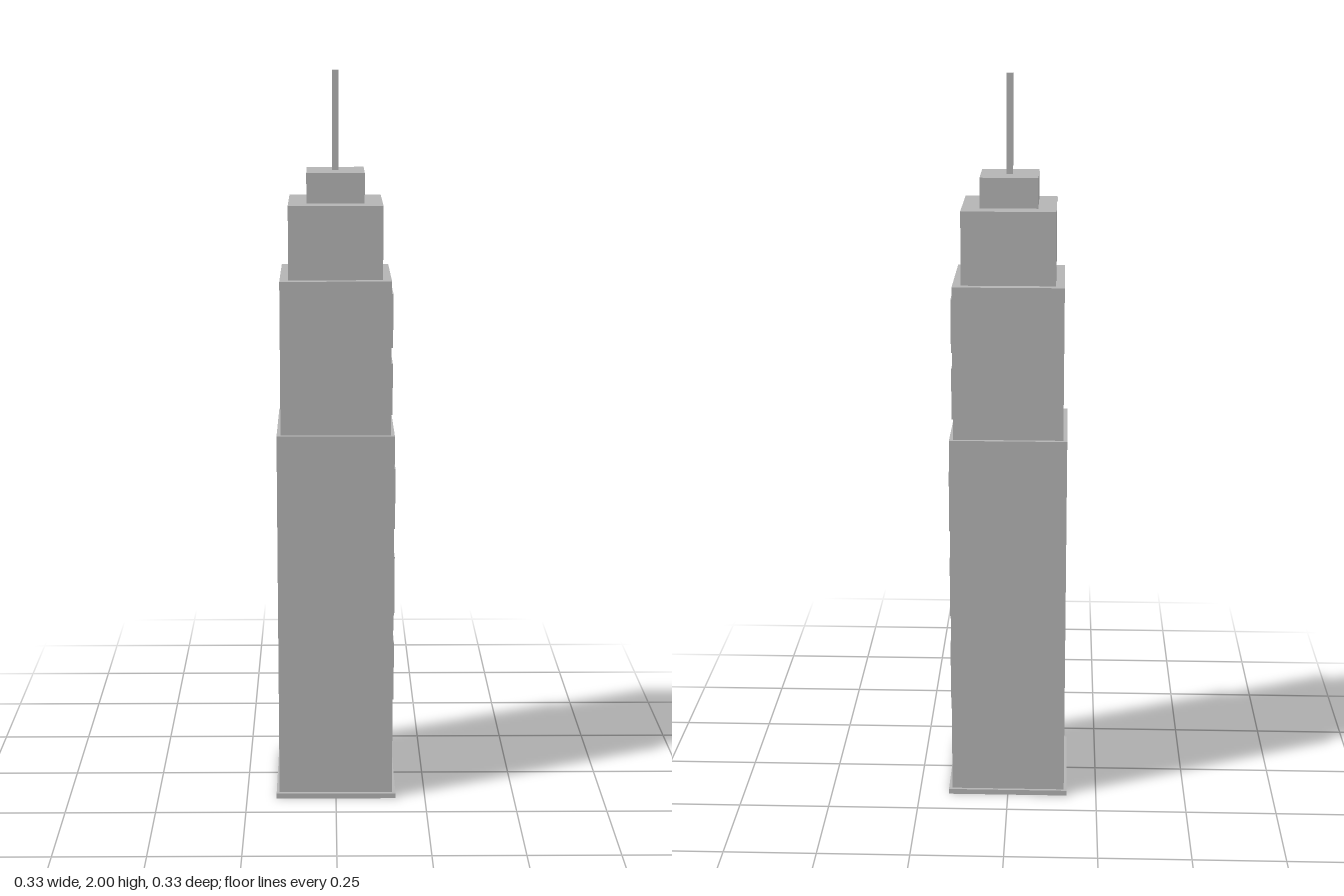
import * as THREE from 'three';

export function createModel() {
  const model = new THREE.Group();
  model.name = 'skyscraper';
  const stone = new THREE.MeshStandardMaterial({ color: 0xb4b4b4 });
  stone.name = 'grey stone';

  // Box given by its lower and upper corners
  const box = (name, [x0, y0, z0], [x1, y1, z1]) => {
    const mesh = new THREE.Mesh(new THREE.BoxGeometry(x1 - x0, y1 - y0, z1 - z0), stone);
    mesh.name = name;
    mesh.position.set((x0 + x1) / 2, (y0 + y1) / 2, (z0 + z1) / 2);
    model.add(mesh);
  };

  // Stepped tower: name, half width, bottom, top
  const tiers = [
    ['basePlinth', 0.167, 0, 0.015],
    ['lowerTower', 0.158, 0.015, 1.05],
    ['middleTower', 0.1475, 1.05, 1.465],
    ['upperTower', 0.1245, 1.465, 1.66],
    ['crown', 0.0765, 1.66, 1.74],
    ['mast', 0.0085, 1.74, 2],
  ];
  for (const [name, half, y0, y1] of tiers) {
    const c = name === 'basePlinth' ? 0 : -0.0008;
    box(name, [c - half, y0, c - half], [c + half, y1, c + half]);
  }

  // Raised window panels in two columns on the left wall: outer face, bottom, top
  const rows = [
    [0.161, 0.28, 0.45],
    [0.161, 0.53, 0.7],
    [0.161, 0.78, 0.95],
    [0.1515, 1.1, 1.24],
    [0.1515, 1.283, 1.428],
  ];
  for (const [x, y0, y1] of rows) {
    for (const z of [-0.0725, 0.0695]) {
      box('windowPanel', [x - 0.008, y0, z - 0.0525], [x, y1, z + 0.0525]);
    }
  }

  // Entrance on the same wall
  box('door', [0.153, 0.012, -0.04], [0.161, 0.13, 0.038]);

  return model;
}
